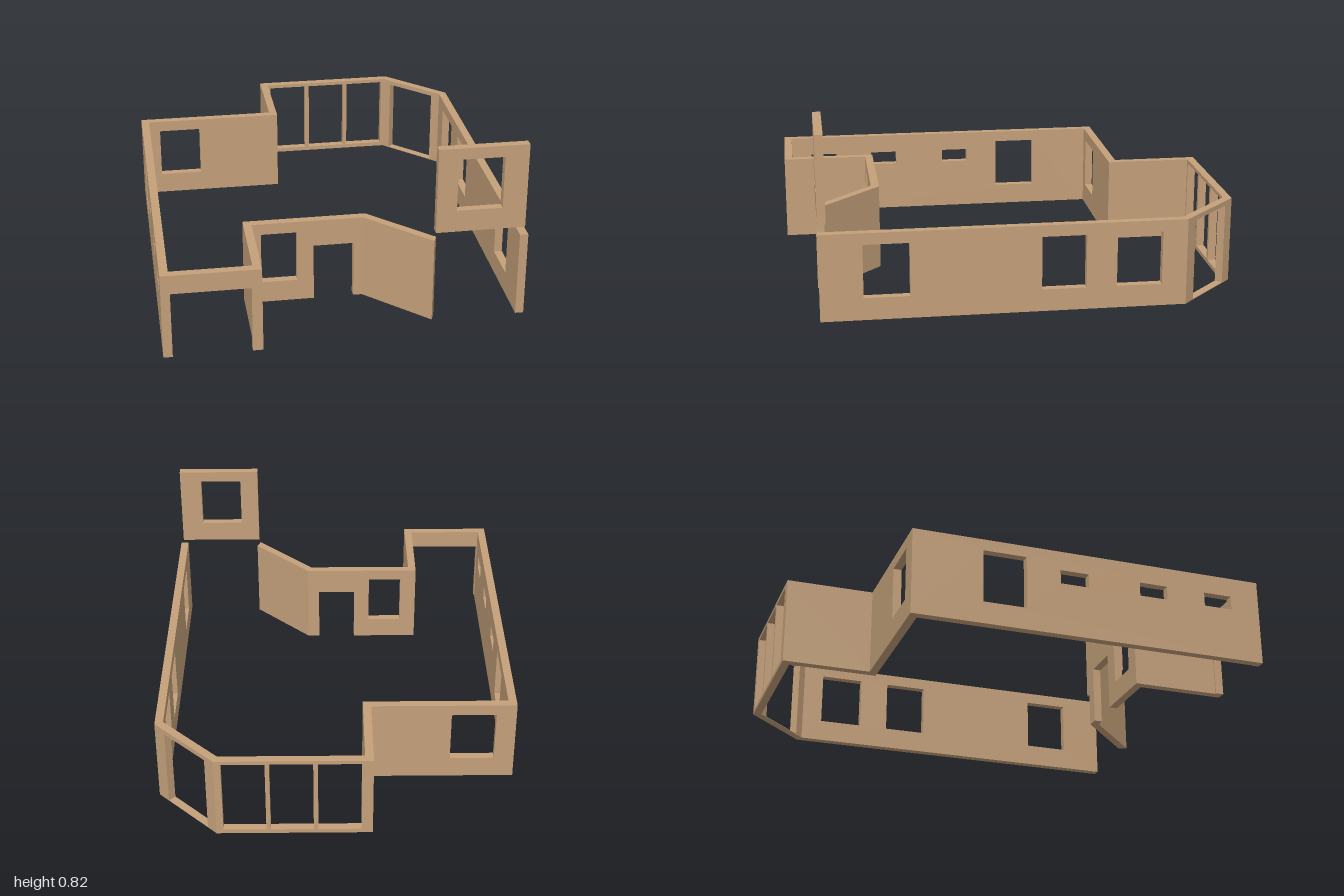
import * as THREE from 'three';

const T = 0.037; // wall thickness
const H = 0.392; // wall height

// Flat wall slab of length L; openings are [u0, u1, y0, y1].
// startShift / endShift move the inner face's ends to form mitred corners.
function wallGeometry(L, openings, startShift, endShift) {
  const shape = new THREE.Shape();
  shape.moveTo(0, 0);
  for (const [u0, u1, y0, y1] of openings) {
    if (y0 > 0) {
      const hole = new THREE.Path();
      hole.moveTo(u0, y0).lineTo(u0, y1).lineTo(u1, y1).lineTo(u1, y0).closePath();
      shape.holes.push(hole);
    } else {
      // doorway cut into the bottom edge
      shape.lineTo(u0, 0).lineTo(u0, y1).lineTo(u1, y1).lineTo(u1, 0);
    }
  }
  shape.lineTo(L, 0).lineTo(L, H).lineTo(0, H).closePath();

  const geo = new THREE.ExtrudeGeometry(shape, { depth: T, bevelEnabled: false });
  const pos = geo.attributes.position;
  for (let i = 0; i < pos.count; i++) {
    if (pos.getZ(i) < T / 2) continue;
    const u = pos.getX(i);
    if (u < 1e-5) pos.setX(i, u + startShift);
    else if (u > L - 1e-5) pos.setX(i, u + endShift);
  }
  geo.computeVertexNormals();
  return geo;
}

export function createModel() {
  const group = new THREE.Group();
  group.name = 'houseWalls';
  const tan = new THREE.MeshStandardMaterial({ color: 0xc4a07a });
  tan.name = 'tan plaster';

  // Outer footprint corners (x, z), interior on the right-hand side
  const corners = [
    [-0.8, 1], [-0.8, -0.608], [-0.15, -0.608], [-0.15, -1], [0.53, -1], [0.8, -0.73],
    [0.8, 0.867], [0.385, 0.867], [0.12, 0.605], [-0.375, 0.605], [-0.375, 1],
  ].map(([x, z]) => new THREE.Vector2(x, z));

  const win = (u0, u1) => [u0, u1, 0.1, 0.34];
  const vent = (u0) => [u0, u0 + 0.13, 0.24, 0.303];
  const pane = (u0) => [u0, u0 + 0.187, 0.02, 0.375];

  // One wall per footprint edge
  const walls = [
    { name: 'longSideWall', openings: [vent(0.135), vent(0.445), vent(0.815), win(1.1, 1.295)] },
    { name: 'rearWingWall', openings: [win(0.09, 0.29)] },
    { name: 'rearReturnWall', openings: [] },
    { name: 'glazedRearWall', openings: [pane(0.05), pane(0.257), pane(0.463)] },
    { name: 'angledRearDoorWall', openings: [[0.057, 0.318, 0.003, 0.37]] },
    { name: 'windowSideWall', openings: [win(0.11, 0.31), win(0.445, 0.64), win(1.21, 1.41)], freeEnd: true },
    { name: 'raisedFrontPanel', openings: [win(0.105, 0.305)], panel: true },
    { name: 'angledFrontWall', openings: [] },
    { name: 'entranceWall', openings: [[0.04, 0.22, 0, 0.267], win(0.295, 0.455)] },
    { name: 'garageReturnWall', openings: [] },
    { name: 'garageFrontWall', openings: [[0.045, 0.385, 0, 0.305]] },
  ];

  const n = corners.length;
  const dir = corners.map((p, i) => corners[(i + 1) % n].clone().sub(p).normalize());
  const normal = dir.map((d) => new THREE.Vector2(-d.y, d.x));
  // Offset from each outer corner to its inner corner
  const mitre = corners.map((p, i) => {
    const a = normal[(i + n - 1) % n], b = normal[i];
    return a.clone().add(b).multiplyScalar(T / (1 + a.dot(b)));
  });

  walls.forEach((wall, i) => {
    const start = corners[i].clone();
    let length = start.distanceTo(corners[(i + 1) % n]);
    let s = mitre[i].dot(dir[i]);
    let e = wall.freeEnd ? 0 : mitre[(i + 1) % n].dot(dir[i]);
    let y = 0;
    if (wall.panel) { // square-ended panel floating above its gap
      start.x = 0.783;
      length = 0.393;
      s = e = 0;
      y = 0.43;
    }
    const mesh = new THREE.Mesh(wallGeometry(length, wall.openings, s, e), tan);
    mesh.name = wall.name;
    mesh.position.set(start.x, y, start.y);
    mesh.rotation.y = Math.atan2(-dir[i].y, dir[i].x);
    group.add(mesh);
  });

  return group;
}
